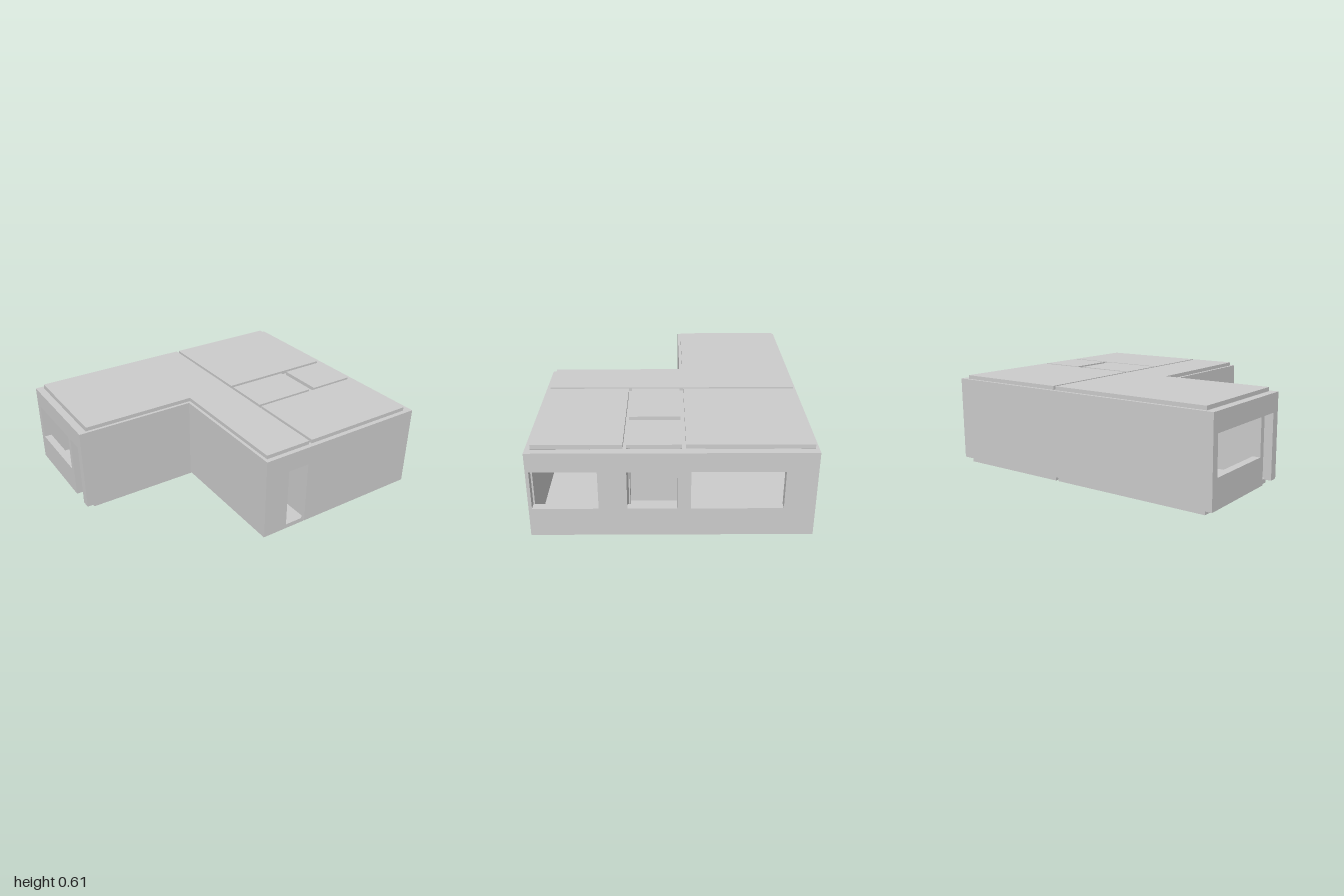
import * as THREE from 'three';

const FLOOR = 0.03, TOP = 0.585, HEIGHT = 0.61;
const SILL = 0.215, HEAD = 0.462;

export function createModel() {
  const model = new THREE.Group();
  model.name = 'house';
  const plaster = new THREE.MeshStandardMaterial({ color: 0xcccccc });
  plaster.name = 'plaster';

  const add = (name, geometry) => {
    const mesh = new THREE.Mesh(geometry, plaster);
    mesh.name = name;
    model.add(mesh);
    return mesh;
  };

  // Wall elevation from a to b: doors notch the base, windows are holes
  const elevation = (a, b, doors, windows) => {
    const shape = new THREE.Shape();
    shape.moveTo(a, FLOOR);
    for (const [d0, d1] of doors) {
      shape.lineTo(d0, FLOOR);
      shape.lineTo(d0, HEAD);
      shape.lineTo(d1, HEAD);
      shape.lineTo(d1, FLOOR);
    }
    shape.lineTo(b, FLOOR);
    shape.lineTo(b, TOP);
    shape.lineTo(a, TOP);
    shape.closePath();
    for (const [w0, w1] of windows) {
      shape.holes.push(new THREE.Path([
        new THREE.Vector2(w0, SILL), new THREE.Vector2(w0, HEAD),
        new THREE.Vector2(w1, HEAD), new THREE.Vector2(w1, SILL),
      ]));
    }
    return shape;
  };

  // Wall running along x, between depths z0 and z1
  const wallX = (name, x0, x1, z0, z1, doors = [], windows = []) => {
    const geometry = new THREE.ExtrudeGeometry(elevation(x0, x1, doors, windows),
      { depth: z1 - z0, bevelEnabled: false });
    add(name, geometry.translate(0, 0, z0));
  };

  // Wall running along z, between x0 and x1
  const wallZ = (name, x0, x1, z0, z1, doors = [], windows = []) => {
    const geometry = new THREE.ExtrudeGeometry(elevation(z0, z1, doors, windows),
      { depth: x1 - x0, bevelEnabled: false });
    add(name, geometry.rotateY(-Math.PI / 2).translate(x1, 0, 0));
  };

  // Outer walls
  wallZ('leftWall', 0.95, 1, -0.84, 0.84, [], [[-0.655, -0.11], [-0.03, 0.262], [0.43, 0.82]]);
  wallZ('rightWall', -1, -0.95, -0.84, -0.06, [[-0.24, -0.12]], [[-0.79, -0.28]]);
  wallX('backWall', -0.95, 0.95, -0.84, -0.82);
  wallX('frontWall', -0.2, 0.95, 0.81, 0.84, [[-0.03, 0.12]]);
  wallX('recessFrontWall', -0.95, -0.2, -0.08, -0.06);
  wallZ('recessSideWall', -0.2, -0.18, -0.08, 0.81);

  // Inner walls
  wallZ('spineWall', 0.14, 0.16, -0.82, 0.81, [[-0.24, -0.1], [0.03, 0.17], [0.43, 0.575]]);
  wallX('backRoomPartition', 0.16, 0.95, -0.08, -0.055, [[0.7, 0.825]]);
  wallX('frontRoomPartition', 0.16, 0.95, 0.262, 0.282, [[0.7, 0.82]]);
  wallZ('middlePartition', 0.585, 0.63, -0.055, 0.262);

  // Each room has a floor slab and a matching roof slab
  const rect = (x0, z0, x1, z1) => [[x0, z0], [x1, z0], [x1, z1], [x0, z1]];
  const rooms = {
    livingHall: [[-0.945, -0.82], [0.14, -0.82], [0.14, 0.81], [-0.18, 0.81], [-0.18, -0.08], [-0.945, -0.08]],
    backRoom: rect(0.16, -0.82, 0.945, -0.08),
    middleRoom: rect(0.16, -0.055, 0.585, 0.262),
    smallRoom: rect(0.63, -0.055, 0.945, 0.262),
    frontRoom: rect(0.16, 0.282, 0.945, 0.81),
  };
  for (const [room, corners] of Object.entries(rooms)) {
    const plan = new THREE.Shape(corners.map(([x, z]) => new THREE.Vector2(x, -z)));
    for (const [part, y0, y1] of [['Floor', 0, FLOOR], ['Roof', TOP, HEIGHT]]) {
      const slab = new THREE.ExtrudeGeometry(plan, { depth: y1 - y0, bevelEnabled: false });
      add(room + part, slab.rotateX(-Math.PI / 2).translate(0, y0, 0));
    }
  }
  return model;
}
